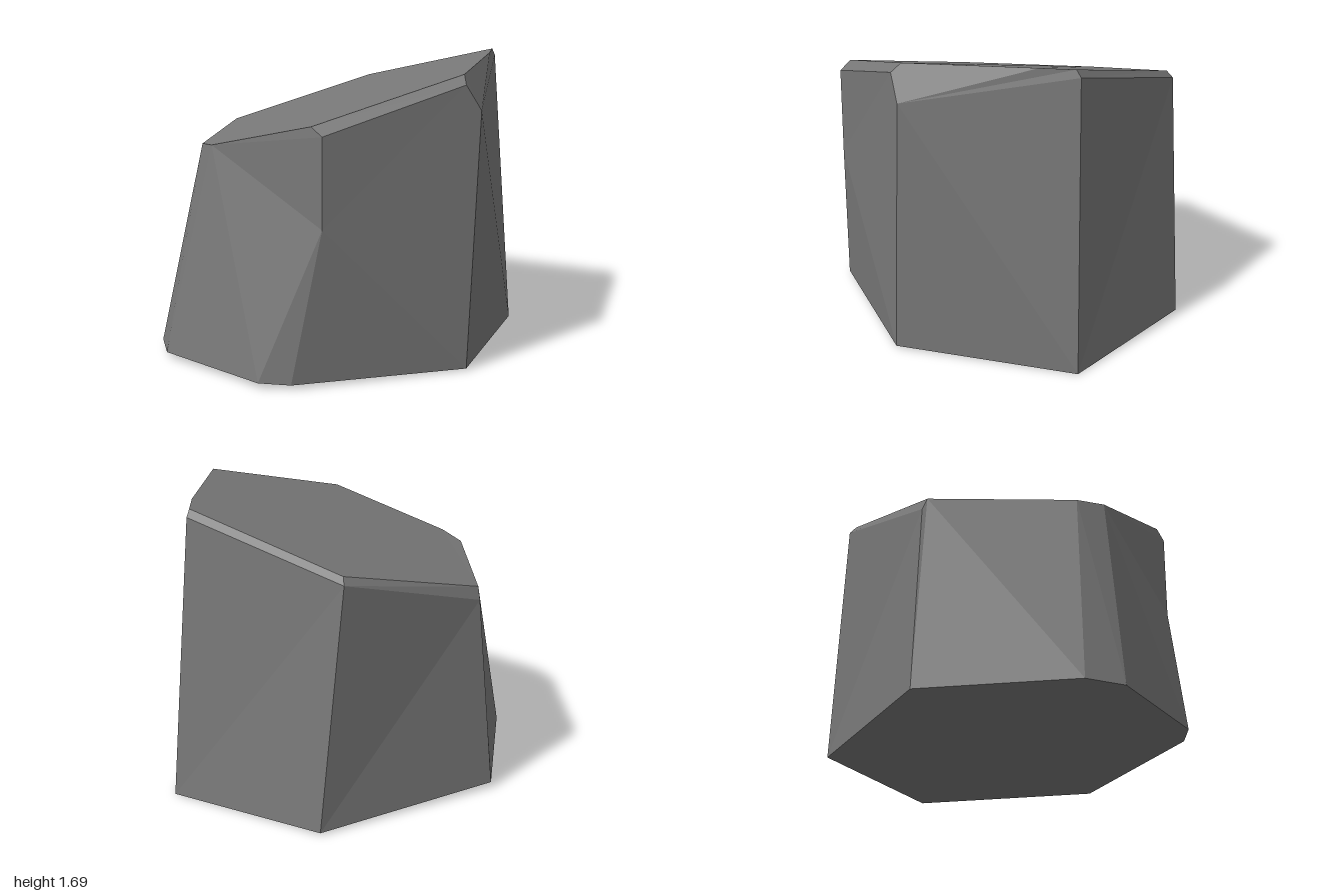
import * as THREE from 'three';

// Corners, anticlockwise seen from above, starting at the left tip
const base = [
  [-0.98, 0.035, -0.06], [-0.69, 0.035, 0.8], [-0.51, 0.033, 0.95], [0.23, 0.028, 1],
  [0.39, 0.026, 0.91], [0.96, 0.01, 0.06], [0.62, 0, -0.94], [-0.35, 0.012, -1],
];
const rim = [
  [-0.86, 1.22, -0.06], [-0.46, 1.22, 0.67], [-0.3, 1.245, 0.765], [0.44, 1.435, 0.79],
  [0.89, 1.665, 0.03], [0.61, 1.69, -0.66], [0.52, 1.69, -0.83], [-0.41, 1.45, -0.84],
];
const shoulder = {
  left: [-0.88, 1.15, -0.08], backLeft: [-0.43, 1.41, -0.87], backRight: [0.52, 1.65, -0.86],
  right: [0.98, 1.47, -0.01], rightFront: [0.93, 1.615, 0.07], front: [0.52, 1.39, 0.8],
  dent: [0.52, 0.89, 0.8],
};

// Fan each polygon into triangles with separate corners, so faces stay flat
function facets(name, polygons, material) {
  const points = [];
  for (const p of polygons) {
    for (let i = 1; i < p.length - 1; i++) points.push(...p[0], ...p[i], ...p[i + 1]);
  }
  const geometry = new THREE.BufferGeometry();
  geometry.setAttribute('position', new THREE.Float32BufferAttribute(points, 3));
  geometry.computeVertexNormals();
  const mesh = new THREE.Mesh(geometry, material);
  mesh.name = name;
  return mesh;
}

export function createModel() {
  const stone = new THREE.MeshStandardMaterial({ color: 0x787878 });
  stone.name = 'grey stone';
  const b = base, r = rim, s = shoulder;
  const rock = new THREE.Group();
  rock.name = 'rock';

  rock.add(
    // Sloping top and flat underside
    facets('slopingTop', [r], stone),
    facets('underside', [[...b].reverse()], stone),

    // Front, with a shallow dent at its right edge
    facets('frontFaces', [
      [r[1], b[1], b[2], r[2]],
      [r[2], b[2], b[3]],
      [r[2], b[3], s.dent],
      [r[2], s.dent, s.front, r[3]],
      [s.dent, b[3], b[4]],
    ], stone),

    // Side walls
    facets('leftFaces', [
      [r[0], s.left, b[0], b[1], r[1]],
      [s.left, s.backLeft, b[7], b[0]],
    ], stone),
    facets('rightFaces', [
      [s.dent, b[4], b[5], s.right, s.rightFront, s.front],
      [s.right, b[5], b[6], s.backRight, r[6], r[5]],
    ], stone),
    facets('backFace', [[s.backLeft, s.backRight, b[6], b[7]]], stone),

    // Narrow chipped edges round the top
    facets('chippedEdges', [
      [r[0], r[7], s.backLeft, s.left],
      [r[7], r[6], s.backRight, s.backLeft],
      [r[3], s.front, s.rightFront, r[4]],
      [r[4], s.rightFront, s.right],
      [r[4], s.right, r[5]],
    ], stone),
  );
  return rock;
}
